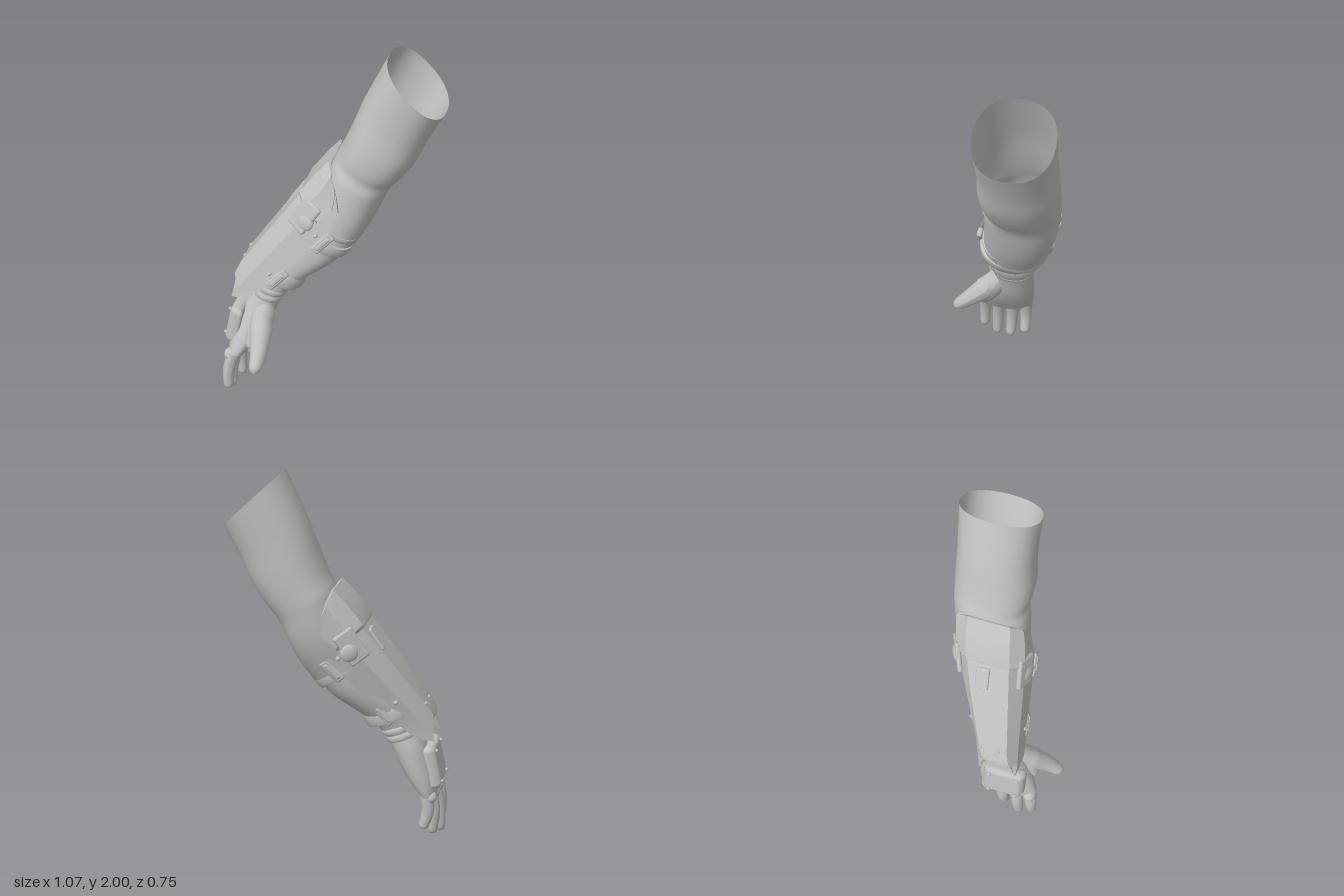
import * as THREE from 'three';
import { toCreasedNormals } from 'three/addons/utils/BufferGeometryUtils.js';
import { RoundedBoxGeometry } from 'three/addons/geometries/RoundedBoxGeometry.js';

const grey = new THREE.MeshStandardMaterial({ color: 0xc0c0c0, side: THREE.DoubleSide });
grey.name = 'plain grey';

function add(parent, name, geometry) {
  const mesh = new THREE.Mesh(geometry, grey);
  mesh.name = name;
  parent.add(mesh);
  return mesh;
}

// Skin closed loops of points together; optionally fan-cap the last loop
function loft(loops, capEnd = false) {
  const n = loops[0].length, pos = loops.flat(2), index = [];
  for (let i = 0; i < loops.length - 1; i++) {
    for (let j = 0; j < n; j++) {
      const a = i * n + j, b = i * n + (j + 1) % n;
      index.push(a, b, a + n, b, b + n, a + n);
    }
  }
  if (capEnd) {
    const s = (loops.length - 1) * n;
    for (let j = 1; j < n - 1; j++) index.push(s, s + j, s + j + 1);
  }
  const g = new THREE.BufferGeometry();
  g.setAttribute('position', new THREE.Float32BufferAttribute(pos, 3));
  g.setIndex(index);
  g.computeVertexNormals();
  return g;
}

// Oval loop spanning points A and B in xy, and z0 to z1 in depth
function oval([ax, ay, bx, by, z0, z1], n = 32) {
  const soft = (v) => Math.sign(v) * Math.abs(v) ** 0.88;
  return Array.from({ length: n }, (_, i) => {
    const t = (i / n) * Math.PI * 2, c = soft(Math.cos(t)), s = soft(Math.sin(t));
    return [(ax + bx) / 2 + (bx - ax) / 2 * c, (ay + by) / 2 + (by - ay) / 2 * c,
      (z0 + z1) / 2 + (z1 - z0) / 2 * s];
  });
}

// Smoothly interpolate between oval sections
function smoothOvals(sections, steps = 4) {
  const out = [], last = sections.length - 1;
  const p = (i) => sections[Math.max(0, Math.min(last, i))];
  for (let k = 0; k <= last * steps; k++) {
    const i = Math.min(Math.floor(k / steps), last - 1), t = k / steps - i;
    out.push(oval(p(i).map((_, j) => {
      const [a, b, c, d] = [p(i - 1)[j], p(i)[j], p(i + 1)[j], p(i + 2)[j]];
      return b + 0.5 * t * (c - a + t * (2 * a - 5 * b + 4 * c - d + t * (3 * (b - c) + d - a)));
    })));
  }
  return out;
}

// Raised band around an oval section
function strap(section, width, lift = 0.012) {
  const [ax, ay, bx, by, z0, z1] = section;
  const len = Math.hypot(bx - ax, by - ay), ux = (bx - ax) / len, uy = (by - ay) / len;
  const ring = (w, e) => oval([ax - ux * e - uy * w, ay - uy * e + ux * w,
    bx + ux * e - uy * w, by + uy * e + ux * w, z0 - e, z1 + e]);
  const h = width / 2;
  return toCreasedNormals(loft([ring(h, -0.02), ring(h, lift * 0.5), ring(h * 0.6, lift),
    ring(-h * 0.6, lift), ring(-h, lift * 0.5), ring(-h, -0.02)]), 0.9);
}

// U-shaped armour section: ridge T and lower edge B in xy, depth z0 to z1, wall thickness,
// and how far the ridge is cut back towards the elbow
function shellLoop([tx, ty, bx, by, z0, z1, wall, cut = 0]) {
  const c = (z1 - z0) * 0.22;
  const half = (t, inset) => {
    const at = (k, z, back = 0) => [tx + (bx - tx) * k + 0.525 * back, ty + (by - ty) * k + 0.85 * back, z];
    return [at(1, z0 + inset), at(0.4 + t, z0 + c * 0.25 + inset), at(t, z0 + c, cut),
      at(t, z1 - c, cut), at(0.4 + t, z1 - c * 0.25 - inset), at(1, z1 - inset)];
  };
  return [...half(0, 0), ...half(wall * 5, wall).reverse()];
}
const shell = (sections) => toCreasedNormals(loft(sections.map(shellLoop)), 0.35);

// Tapered round limb through points, with a radius at each point and a round tip
function limb(points, radii) {
  const curve = new THREE.CatmullRomCurve3(points.map((p) => new THREE.Vector3(...p)));
  const segs = 28, sides = 14, g = new THREE.TubeGeometry(curve, segs, 1, sides);
  const pos = g.attributes.position, v = new THREE.Vector3();
  for (let i = 0; i <= segs; i++) {
    const t = i / segs, f = t * (radii.length - 1), k = Math.min(Math.floor(f), radii.length - 2);
    const tip = Math.sqrt(Math.max(0.0001, 1 - Math.max(0, (t - 0.88) / 0.12) ** 2));
    const r = THREE.MathUtils.lerp(radii[k], radii[k + 1], f - k) * tip;
    const c = curve.getPointAt(t);
    for (let j = 0; j <= sides; j++) {
      const id = i * (sides + 1) + j;
      v.fromBufferAttribute(pos, id).sub(c).multiplyScalar(r).add(c);
      pos.setXYZ(id, v.x, v.y, v.z);
    }
  }
  g.computeVertexNormals();
  return g;
}

// Place a part with its y along dir and its z near normal
function place(mesh, at, dir, normal) {
  const y = new THREE.Vector3(...dir).normalize();
  const x = y.clone().cross(new THREE.Vector3(...normal)).normalize();
  mesh.quaternion.setFromRotationMatrix(new THREE.Matrix4().makeBasis(x, y, x.clone().cross(y)));
  mesh.position.set(...at);
  return mesh;
}

export function createModel() {
  const arm = new THREE.Group();
  arm.name = 'armouredArm';

  // Cloth sleeve with soft folds, open at the shoulder
  add(arm, 'sleeve', loft(smoothOvals([
    [0.25, 2.0, 0.54, 1.73, -0.375, 0.02], [0.14, 1.76, 0.465, 1.58, -0.36, 0.022],
    [0.08, 1.6, 0.41, 1.45, -0.357, 0.038], [0.04, 1.5, 0.35, 1.355, -0.35, 0.036],
    [0.01, 1.44, 0.305, 1.3, -0.345, 0.024], [-0.01, 1.39, 0.275, 1.25, -0.338, 0.042],
    [-0.04, 1.31, 0.235, 1.15, -0.325, 0.052], [-0.09, 1.22, 0.185, 1.04, -0.297, 0.07],
    [-0.14, 1.11, 0.12, 0.93, -0.25, 0.09],
  ])));

  // Forearm and wrist
  add(arm, 'forearm', loft(smoothOvals([
    [-0.12, 1.12, 0.11, 0.94, -0.23, 0.08], [-0.22, 0.97, 0.04, 0.85, -0.2, 0.1],
    [-0.32, 0.83, -0.07, 0.765, -0.15, 0.115], [-0.37, 0.74, -0.17, 0.68, -0.1, 0.12],
    [-0.39, 0.66, -0.23, 0.6, -0.075, 0.125],
  ])));
  add(arm, 'sleeveStrap', strap([-0.135, 1.09, 0.105, 0.925, -0.237, 0.098], 0.07));
  add(arm, 'sleeveHem', strap([-0.1, 1.16, 0.147, 0.988, -0.265, 0.08], 0.03, 0.006));
  add(arm, 'wristStrap', strap([-0.35, 0.8, -0.13, 0.71, -0.12, 0.12], 0.085));
  add(arm, 'upperWristBand', strap([-0.38, 0.695, -0.215, 0.635, -0.085, 0.122], 0.035, 0.01));
  add(arm, 'lowerWristBand', strap([-0.39, 0.655, -0.24, 0.595, -0.075, 0.128], 0.035, 0.01));

  // Forearm guard, notched at the wrist, and the thicker band at its elbow end
  add(arm, 'forearmGuard', shell([
    [0.0, 1.43, 0.05, 1.32, -0.31, 0.05, 0.003], [-0.05, 1.375, 0.07, 1.2, -0.31, 0.07, 0.02],
    [-0.14, 1.25, 0.03, 1.1, -0.285, 0.1, 0.02], [-0.25, 1.09, -0.08, 0.97, -0.23, 0.12, 0.02],
    [-0.445, 0.81, -0.27, 0.74, -0.11, 0.15, 0.015], [-0.5, 0.7, -0.37, 0.65, -0.075, 0.165, 0.015, 0.045],
    [-0.525, 0.605, -0.43, 0.62, -0.06, 0.16, 0.003, 0.11],
  ]));
  add(arm, 'elbowBand', shell([
    [0.005, 1.435, 0.045, 1.33, -0.305, 0.052, 0.003], [-0.005, 1.44, 0.05, 1.29, -0.317, 0.065, 0.02],
    [-0.065, 1.37, 0.04, 1.22, -0.313, 0.085, 0.02], [-0.145, 1.263, -0.03, 1.16, -0.29, 0.108, 0.02],
    [-0.15, 1.247, -0.03, 1.14, -0.275, 0.1, 0.003],
  ]));
  place(add(arm, 'guardRidge', new RoundedBoxGeometry(0.07, 0.13, 0.024, 3, 0.01)),
    [-0.195, 1.165, -0.105], [0.56, 0.83, -0.06], [-0.83, 0.56, 0]);

  // Fittings on both faces of the guard
  const faces = [
    { side: 'front', z: 1, dir: [0.525, 0.85, -0.09], tab: 0.085, buckles: [0.106, 0.136] },
    { side: 'back', z: -1, dir: [0.525, 0.85, -0.22], tab: -0.262, buckles: [-0.255, -0.125] },
  ];
  for (const { side, z, dir, tab, buckles } of faces) {
    const n = [0, 0, z], slope = [-0.34, 0.21, z];
    place(add(arm, side + 'Tab', new RoundedBoxGeometry(0.11, 0.18, 0.026, 4, 0.012)),
      [-0.1, 1.165, tab], dir, slope);
    const dome = add(arm, side + 'Dome', new THREE.SphereGeometry(0.047, 24, 16));
    place(dome, [-0.092, 1.137, tab + z * 0.012], dir, slope).scale.z = 0.4;
    [[0.0, 1.03], [-0.235, 0.77]].forEach(([x, y], i) => {
      const buckle = new THREE.Group();
      buckle.name = side + 'Buckle' + (i + 1);
      add(buckle, 'buckleFrame', new RoundedBoxGeometry(0.05, 0.14, 0.026, 3, 0.011));
      add(buckle, 'buckleBar', new RoundedBoxGeometry(0.024, 0.1, 0.018, 3, 0.008)).position.z = 0.01;
      arm.add(place(buckle, [x, y, buckles[i]], [0.66, 0.75, dir[2]], n));
    });
    const rivets = z > 0 ? [[-0.035, 1.07, 0.107], [-0.275, 0.8, 0.138]]
      : [[-0.035, 1.1, -0.27], [-0.3, 0.84, -0.137]];
    rivets.forEach((p) => add(arm, side + 'Rivet', new THREE.SphereGeometry(0.012, 12, 8)).position.set(...p));
  }
  [-0.05, 0.045].forEach((z) =>
    add(arm, 'ridgeRivet', new THREE.SphereGeometry(0.011, 12, 8)).position.set(-0.438, 0.815, z));

  // Hand
  const hand = new THREE.Group();
  hand.name = 'hand';
  arm.add(hand);
  add(hand, 'palm', loft(smoothOvals([
    [-0.385, 0.66, -0.235, 0.6, -0.07, 0.12], [-0.43, 0.57, -0.265, 0.53, -0.075, 0.15],
    [-0.47, 0.46, -0.3, 0.44, -0.07, 0.195], [-0.495, 0.36, -0.35, 0.35, -0.06, 0.238],
    [-0.5, 0.29, -0.4, 0.28, -0.045, 0.262], [-0.485, 0.245, -0.425, 0.245, -0.03, 0.245],
  ]), true));
  add(hand, 'thumbBase', limb([[-0.32, 0.59, 0.07], [-0.325, 0.48, 0.14], [-0.345, 0.4, 0.19],
    [-0.37, 0.33, 0.22]], [0.045, 0.062, 0.058, 0.035]));
  add(hand, 'thumb', limb([[-0.33, 0.54, 0.11], [-0.315, 0.45, 0.19], [-0.3, 0.375, 0.275],
    [-0.3, 0.295, 0.365]], [0.05, 0.062, 0.045, 0.03]));
  const fingers = [
    ['index', [-0.455, 0.3, 0.228], [-0.485, 0.18, 0.24], [-0.49, 0.055, 0.247]],
    ['middle', [-0.455, 0.3, 0.15], [-0.49, 0.16, 0.165], [-0.497, 0.003, 0.175]],
    ['ring', [-0.45, 0.3, 0.07], [-0.475, 0.16, 0.078], [-0.465, 0.025, 0.088]],
    ['little', [-0.445, 0.3, -0.008], [-0.455, 0.2, -0.008], [-0.43, 0.095, -0.008]],
  ];
  for (const [name, base, middle, tip] of fingers) {
    add(hand, name + 'Finger', limb([base, middle, tip], [0.037, 0.033, 0.026]));
    const knuckle = add(hand, name + 'Knuckle', new THREE.SphereGeometry(0.036, 16, 12));
    knuckle.position.set(base[0] - 0.02, base[1] - 0.02, base[2]);
  }

  // Curved plate over the back of the hand
  const plate = new RoundedBoxGeometry(0.07, 0.23, 0.23, 6, 0.028);
  const pos = plate.attributes.position;
  for (let i = 0; i < pos.count; i++) pos.setX(i, pos.getX(i) + 2.5 * pos.getZ(i) ** 2);
  plate.computeVertexNormals();
  const guard = add(hand, 'handPlate', plate);
  guard.position.set(-0.488, 0.448, 0.085);
  guard.rotation.z = -0.2;
  [[0.085, 0.075], [0.085, -0.075], [-0.085, 0.075], [-0.085, -0.075]].forEach(([y, z]) =>
    add(guard, 'plateRivet', new THREE.SphereGeometry(0.01, 12, 8)).position.set(-0.02, y, z));
  return arm;
}
